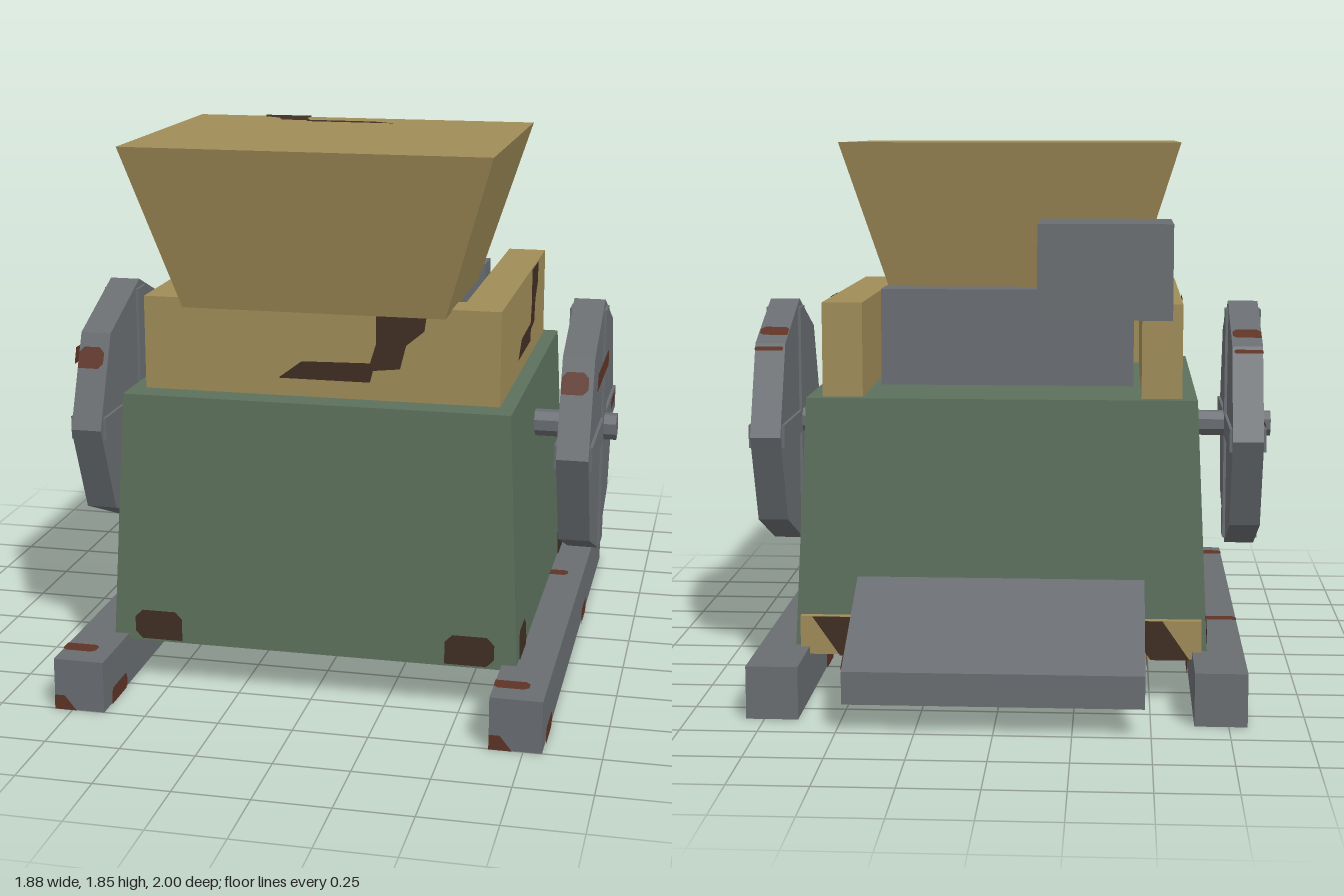
import * as THREE from 'three';

const mat = (name, color, side = THREE.FrontSide) => {
  const m = new THREE.MeshStandardMaterial({ color, side });
  m.name = name;
  return m;
};

export function createModel() {
  const model = new THREE.Group();
  model.name = 'industrialCrusher';
  const yellow = mat('faded yellow paint', 0xa08c58);
  const green = mat('green paint', 0x5c705c);
  const grey = mat('grey steel', 0x696d71);
  const rust = mat('red rust', 0x5e3325, THREE.DoubleSide);
  const grime = mat('dark grime', 0x402e23, THREE.DoubleSide);

  const add = (name, geo, material) => {
    const mesh = new THREE.Mesh(geo, material);
    mesh.name = name;
    model.add(mesh);
    return mesh;
  };
  // Box given by its minimum and maximum corners
  const box = (name, m, [x0, y0, z0], [x1, y1, z1]) => {
    const g = new THREE.BoxGeometry(x1 - x0, y1 - y0, z1 - z0);
    g.translate((x0 + x1) / 2, (y0 + y1) / 2, (z0 + z1) / 2);
    return add(name, g, m);
  };
  // Box whose unit-cube vertices are moved by a rule
  const shaped = (name, m, rule) => {
    const g = new THREE.BoxGeometry(1, 1, 1);
    const p = g.attributes.position;
    for (let i = 0; i < p.count; i++) {
      p.setXYZ(i, ...rule(p.getX(i), p.getY(i) > 0, p.getZ(i) > 0));
    }
    g.computeVertexNormals();
    return add(name, g, m);
  };
  // Flat polygon of paint, laid on a surface by a mapping from 2D to 3D
  const patch = (name, m, pts, map) => {
    const g = new THREE.ShapeGeometry(new THREE.Shape(pts.map(([u, v]) => new THREE.Vector2(u, v))));
    const p = g.attributes.position;
    for (let i = 0; i < p.count; i++) p.setXYZ(i, ...map(p.getX(i), p.getY(i)));
    g.computeVertexNormals();
    return add(name, g, m);
  };
  // Rectangle with clipped upper corners
  const blot = (u0, u1, v0, v1) => {
    const c = (v1 - v0) * 0.25, d = Math.sign(u1 - u0) * c;
    return [[u0, v0], [u1 - d, v0], [u1, v0 + c], [u1, v1 - c], [u1 - d, v1], [u0 + d, v1], [u0, v1 - c]];
  };
  const E = 0.004;

  // Tapered housing
  shaped('housing', green, (x, up, front) => [
    x * (up ? 1.3 : 1.38), up ? 1.01 : 0.157, up ? (front ? 0.695 : -0.56) : (front ? 0.735 : -0.6)]);

  // Feed hopper
  shaped('hopper', yellow, (x, up, front) => [
    x * (up ? 1.2 : 0.87), up ? 1.85 : 1.315, up ? (front ? 0.83 : -0.1) : (front ? 0.7 : 0.035)]);

  // U-shaped frame under the hopper
  box('frameFront', yellow, [-0.47, 1.01, 0.47], [0.47, 1.325, 0.6]);
  for (const s of [-1, 1]) {
    box('frameSide', yellow, [s > 0 ? 0.465 : -0.6, 1.01, -0.52], [s > 0 ? 0.6 : -0.465, 1.325, 0.6]);
  }

  // Crossbeam and motor behind the hopper
  box('crossbeam', grey, [-0.44, 1.01, -0.21], [0.44, 1.345, -0.09]);
  box('motor', grey, [-0.565, 1.275, -0.57], [-0.12, 1.59, -0.195]);

  // Sloping discharge chute
  shaped('chute', grey, (x, up, front) => [
    x * 0.96, front ? (up ? 0.42 : 0.31) : (up ? 0.2 : 0.093), front ? -0.57 : -1]);

  // Warning strip with slanted stripes on its back and underside
  box('warningStrip', yellow, [-0.67, 0.15, -0.62], [0.67, 0.28, -0.59]);
  for (let i = -2; i <= 2; i++) {
    const x = i * 0.26;
    patch('warningStripe', grime, [[x - 0.11, 0.15], [x + 0.02, 0.15], [x + 0.11, 0.28], [x - 0.02, 0.28]],
      (u, v) => [u, v, -0.62 - E]);
    patch('warningStripeUnder', grime, [[x - 0.11, 0], [x + 0.02, 0], [x + 0.02, 0.03], [x - 0.11, 0.03]],
      (u, v) => [u, 0.15 - E, -0.62 + v]);
  }

  // Axle through the housing
  const axle = new THREE.CylinderGeometry(0.047, 0.047, 1.88, 8).toNonIndexed();
  axle.rotateY(Math.PI / 8).rotateZ(Math.PI / 2).translate(0, 0.835, 0.12);
  axle.computeVertexNormals();
  add('axle', axle, grey);

  for (const s of [-1, 1]) {
    // Octagonal flywheel with raised cross spokes
    const wheel = new THREE.CylinderGeometry(0.446, 0.446, 0.106, 8).toNonIndexed();
    wheel.rotateZ(Math.PI / 2).translate(s * 0.834, 0.835, 0.12);
    wheel.computeVertexNormals();
    add('flywheel', wheel, grey);
    for (const [h, d] of [[0.835, 0.085], [0.08, 0.835]]) {
      add('flywheelSpoke', new THREE.BoxGeometry(0.126, h, d).translate(s * 0.834, 0.835, 0.12), grey);
    }

    // Base rail
    const rx = s * 0.725;
    box('baseRail', grey, [rx - 0.085, 0, -0.87], [rx + 0.085, 0.175, 1]);

    // Rust on the flywheel faces and rim
    const face = (z, y) => [s * (0.897 + E), y, z];
    patch('flywheelRust', rust, [[0.475, 1.045], [0.08, 1.045], [0.08, 1.1], [0.455, 1.1]], face);
    patch('flywheelRust', rust, blot(-0.08, -0.21, 0.84, 0.876), face);
    const rim = (x, y) => [x, y, 0.12 + 0.446 - (y - 0.835) * 0.414 + E];
    const w0 = s > 0 ? 0.782 : -0.886;
    patch('rimRust', rust, blot(w0, w0 + 0.09, 1.035, 1.105), rim);
    for (const [z0, z1] of [[-0.25, -0.225], [-0.145, -0.09]]) {
      patch('rimRust', rust, blot(w0, w0 + 0.1, z0, z1),
        (x, z) => [x, 1.281 + E - 0.414 * Math.abs(z - 0.12), z]);
    }

    // Rust on the rails
    for (const side of [-1, 1]) {
      for (const [z0, z1] of [[0.93, 0.78], [-0.13, -0.28]]) {
        patch('railRust', rust, blot(z0, z1, 0, 0.055), (z, y) => [rx + side * (0.085 + E), y, z]);
      }
    }
    patch('railEndRust', rust, [[-0.085, 0], [-0.01, 0], [-0.05, 0.05], [-0.085, 0.05]],
      (x, y) => [rx + x, y, 1 + E]);
    for (const [z0, z1] of [[0.865, 0.925], [-0.2, -0.15]]) {
      patch('railTopRust', rust, blot(rx - 0.085, rx + 0.03, z0, z1), (x, z) => [x, 0.175 + E, z]);
    }

    // Rust on the chute edge
    patch('chuteRust', rust, [[-0.65, 0.27], [-0.87, 0.26], [-0.99, 0.2], [-0.78, 0.205]],
      (z, y) => [s * (0.48 + E), y, z]);

    // Grime at the lower corners of the housing
    const taper = (y) => 0.04 * (y - 0.157) / 0.853;
    patch('housingGrime', grime, blot(s * 0.45, s * 0.615, 0.165, 0.265),
      (x, y) => [x, y, 0.735 + E - taper(y)]);
    for (const [z0, z1] of [[0.685, 0.52], [-0.38, -0.55]]) {
      patch('housingGrime', grime, blot(z0, z1, 0.165, 0.27), (z, y) => [s * (0.69 + E - taper(y)), y, z]);
    }
  }

  // Hooked grime mark repeated on the frame and the hopper lid
  const hook = [[0.19, 1.325], [0.36, 1.325], [0.35, 1.25], [0.29, 1.2], [0.27, 1.12], [0.18, 1.11],
    [0.17, 1.07], [-0.14, 1.07], [-0.06, 1.13], [0.17, 1.135], [0.19, 1.2]];
  patch('frameGrime', grime, hook, (u, v) => [u, v, 0.6 + E]);
  for (const s of [-1, 1]) patch('frameGrime', grime, hook, (u, v) => [s * (0.6 + E), v, 0.065 - u]);
  patch('lidGrime', grime, hook, (u, v) => [-u, 1.85 + E, -0.1 + (1.325 - v) * 0.64]);

  return model;
}
